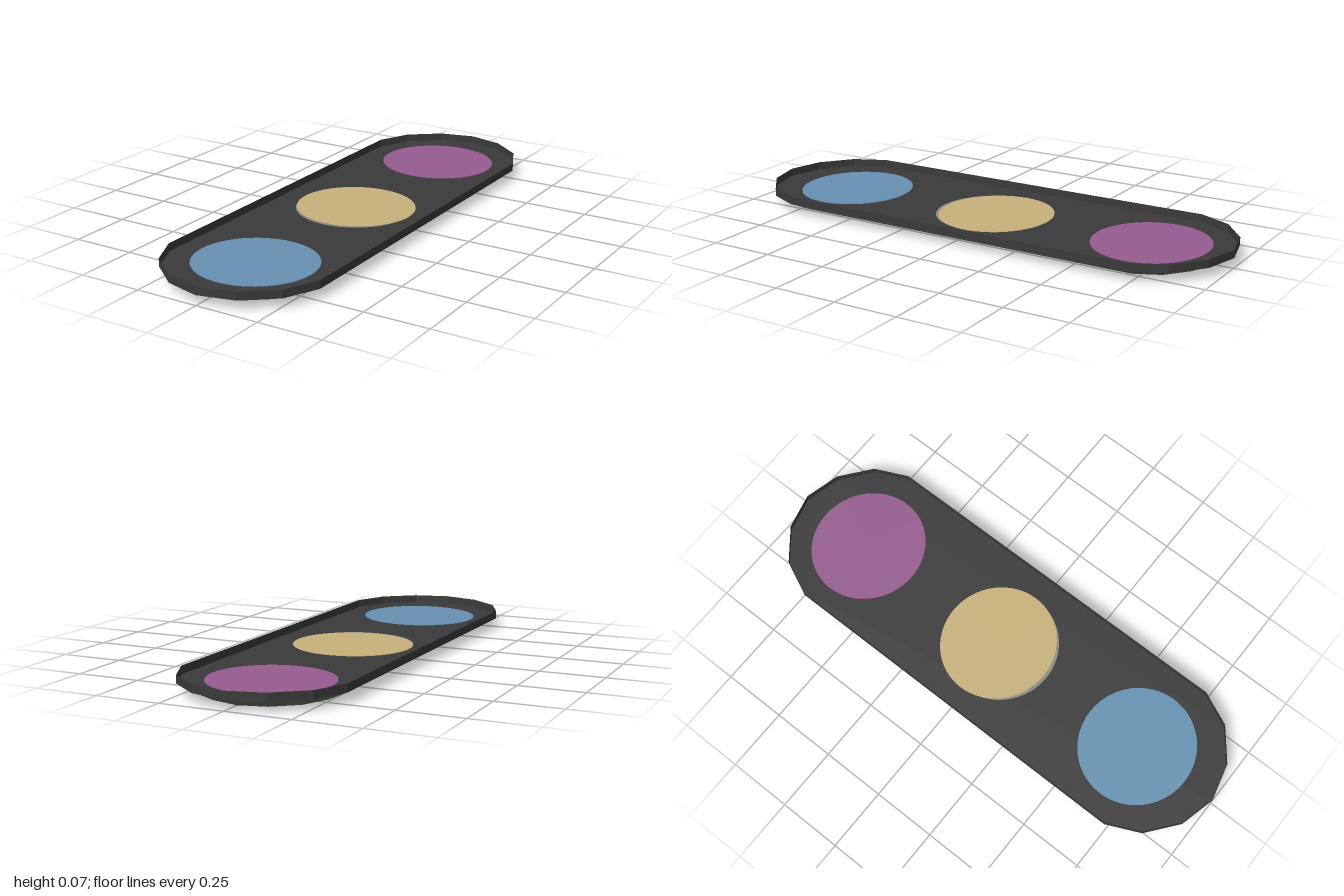
import * as THREE from 'three';

const mat = (name, color, side = THREE.FrontSide) => {
  const m = new THREE.MeshStandardMaterial({ color, side });
  m.name = name;
  return m;
};

// Seven points of one rounded end, mirrored into a closed faceted capsule
function outline(halfWidth, halfLength) {
  const k = halfWidth / 0.32;
  const end = [[0.32, 0.06], [0.26, 0.19], [0.14, 0.285], [0, 0.32], [-0.14, 0.285], [-0.26, 0.19], [-0.32, 0.06]]
    .map(([x, z]) => [x * k, halfLength - halfWidth + z * k]);
  return [...end, ...end.map(([x, z]) => [-x, -z])].map(([x, z]) => new THREE.Vector2(x, z));
}

// Wall between a lower and an upper outline
function wall(low, high, yLow, yHigh) {
  const pos = [];
  low.forEach((a, i) => {
    const j = (i + 1) % low.length;
    const b = low[j], c = high[j], d = high[i];
    const A = [a.x, yLow, a.y], B = [b.x, yLow, b.y], C = [c.x, yHigh, c.y], D = [d.x, yHigh, d.y];
    pos.push(...A, ...C, ...B, ...A, ...D, ...C);
  });
  const g = new THREE.BufferGeometry();
  g.setAttribute('position', new THREE.Float32BufferAttribute(pos, 3));
  g.computeVertexNormals();
  return g;
}

// Flat plate facing up, from a symmetrical outline
const plate = (points) => new THREE.ShapeGeometry(new THREE.Shape(points)).rotateX(-Math.PI / 2);

export function createModel() {
  const group = new THREE.Group();
  group.name = 'threeLightPanel';
  const charcoal = mat('charcoal', 0x3a3a3a, THREE.DoubleSide);
  const olive = mat('oliveGrey', 0x6e6e64, THREE.DoubleSide);
  const grey = mat('rimGrey', 0x8e8e86, THREE.DoubleSide);
  const lights = [
    { name: 'purple', z: -0.678, windowZ: -0.66, material: mat('purple', 0x965d90) },
    { name: 'yellow', z: -0.016, windowZ: 0, material: mat('sand', 0xc8b27b) },
    { name: 'blue', z: 0.655, windowZ: 0.667, material: mat('blue', 0x6692b2) },
  ];
  const add = (name, geometry, material, x = 0, y = 0, z = 0) => {
    const m = new THREE.Mesh(geometry, material);
    m.name = name;
    m.position.set(x, y, z);
    group.add(m);
    return m;
  };

  // Upper tray: upright band around a flat floor
  const edge = outline(0.322, 1);
  add('trayBand', wall(edge, edge, 0.038, 0.069), charcoal);
  add('trayFloor', plate(edge), charcoal, 0, 0.038, 0);

  // Lower pan: sloping sides, closed top, bottom with three windows
  const low = outline(0.238, 0.912), high = outline(0.31, 0.978);
  add('panSides', wall(low, high, 0, 0.033), olive);
  add('panTop', plate(high), olive, 0, 0.033, 0);
  const bottom = new THREE.Shape(low);
  const sides = 8, windowRadius = 0.228, lensRadius = 0.22, turn = Math.PI / sides;
  for (const { windowZ } of lights) {
    const points = Array.from({ length: sides }, (_, i) => {
      const a = turn - i / sides * Math.PI * 2;
      return new THREE.Vector2(Math.sin(a) * windowRadius, windowZ + Math.cos(a) * windowRadius);
    });
    bottom.holes.push(new THREE.Path(points));
  }
  add('panBottom', new THREE.ShapeGeometry(bottom).rotateX(Math.PI / 2), olive);

  for (const { name, z, windowZ, material } of lights) {
    // Tapered window rim and the coloured lens recessed in it
    const rim = new THREE.CylinderGeometry(lensRadius, windowRadius, 0.03, sides, 1, true, turn).toNonIndexed();
    rim.computeVertexNormals();
    add(name + 'WindowRim', rim, grey, 0, 0.015, windowZ);
    const lens = new THREE.CylinderGeometry(lensRadius, lensRadius, 0.003, sides, 1, false, turn);
    add(name + 'WindowLens', lens, material, 0, 0.03, windowZ);
    // Round light lying on the tray floor
    const disc = add(name + 'Light', new THREE.CylinderGeometry(1, 1, 0.002, 64), material, -0.003, 0.0395, z);
    disc.scale.set(0.235, 1, 0.222);
  }

  // Grey crescent beside the middle light
  const crescent = add('middleLightCrescent', new THREE.CylinderGeometry(1, 1, 0.001, 64), grey, -0.003, 0.039, -0.003);
  crescent.scale.set(0.23, 1, 0.222);
  return group;
}
